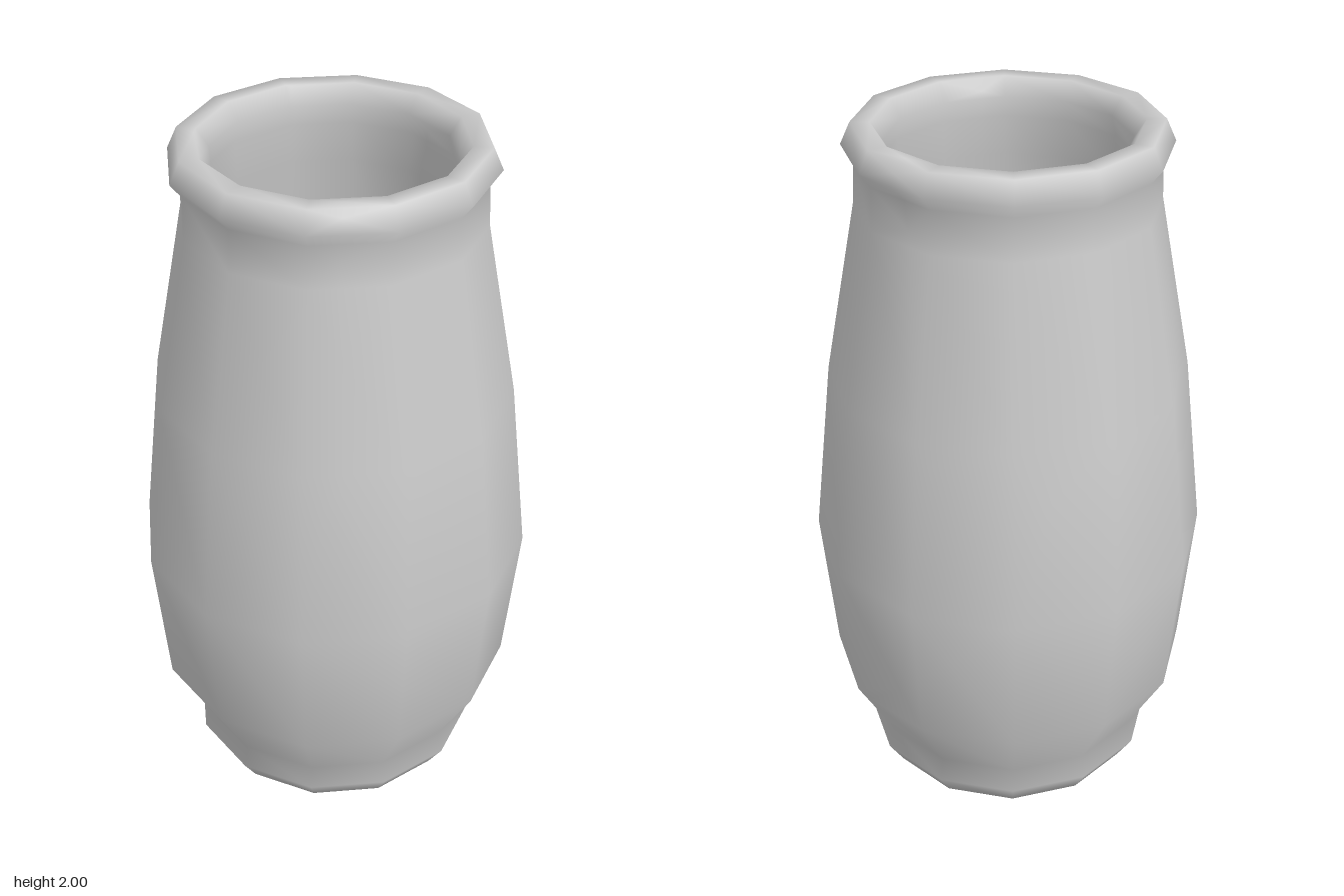
import * as THREE from 'three';

// Closed wall profile [radius, height]: base, outside, rolled rim, inside, floor
const PROFILE = [
  [0, 0], [0.385, 0], [0.43, 0.07], [0.415, 0.14], [0.525, 0.335], [0.565, 0.765],
  [0.508, 1.28], [0.415, 1.78], [0.41, 1.9], [0.442, 1.94], [0.415, 2], [0.362, 2],
  [0.33, 1.95], [0.345, 1.89], [0.34, 1.78], [0.43, 1.28], [0.485, 0.765],
  [0.445, 0.36], [0.34, 0.16], [0.31, 0.09], [0, 0.08],
];

// The vase is broken into shards; each shard is the region nearest to its seed
const SEEDS = {
  rimShardBack: [-0.055, 1.8, -0.46],
  rimShardRight: [-0.342, 1.8, -0.26],
  rimShardFront: [-0.306, 1.687, 0.171],
  rimShardLeft: [0.324, 1.687, 0.018],
  bodyShardRight: [-0.44, 0.837, 0.018],
  bodyShardLeft: [0.44, 0.837, 0.018],
  baseShardFront: [0, 0.08, 0.36],
  baseShardLeft: [0.12, -0.25, -0.02],
  baseShardBack: [-0.14, 0.1, -0.32],
};

// Cut a polygon of {p, n} corners, keeping the part on the plane's negative side
function clip(poly, plane) {
  const out = [];
  poly.forEach((a, i) => {
    const b = poly[(i + 1) % poly.length];
    const da = plane.distanceToPoint(a.p);
    const db = plane.distanceToPoint(b.p);
    if (da <= 0) out.push(a);
    if ((da < 0 && db > 0) || (da > 0 && db < 0)) {
      const t = da / (da - db);
      out.push({ p: a.p.clone().lerp(b.p, t), n: a.n.clone().lerp(b.n, t).normalize() });
    }
  });
  return out;
}

// Triangles of the whole vase with their smooth normals
function vaseTriangles() {
  const lathe = new THREE.LatheGeometry(PROFILE.map(([r, y]) => new THREE.Vector2(r, y)), 12);
  const { position, normal } = lathe.attributes;
  const corner = (i) => ({
    p: new THREE.Vector3().fromBufferAttribute(position, i),
    n: new THREE.Vector3().fromBufferAttribute(normal, i),
  });
  const triangles = [];
  for (let i = 0; i < lathe.index.count; i += 3) {
    const tri = [0, 1, 2].map((k) => corner(lathe.index.getX(i + k)));
    const area = new THREE.Triangle(tri[0].p, tri[1].p, tri[2].p).getArea();
    if (area > 1e-7) triangles.push(tri);
  }
  return triangles;
}

// One shard: every triangle trimmed by the planes halfway to the other seeds
function shardGeometry(triangles, seed, others) {
  const planes = others.map((o) => new THREE.Plane().setFromNormalAndCoplanarPoint(
    o.clone().sub(seed).normalize(), o.clone().add(seed).multiplyScalar(0.5)));
  const positions = [];
  const normals = [];
  for (const tri of triangles) {
    let poly = tri;
    for (const plane of planes) poly = clip(poly, plane);
    for (let i = 1; i + 1 < poly.length; i++) {
      for (const c of [poly[0], poly[i], poly[i + 1]]) {
        positions.push(c.p.x, c.p.y, c.p.z);
        normals.push(c.n.x, c.n.y, c.n.z);
      }
    }
  }
  const geometry = new THREE.BufferGeometry();
  geometry.setAttribute('position', new THREE.Float32BufferAttribute(positions, 3));
  geometry.setAttribute('normal', new THREE.Float32BufferAttribute(normals, 3));
  return geometry;
}

export function createModel() {
  const vase = new THREE.Group();
  vase.name = 'crackedVase';
  const material = new THREE.MeshStandardMaterial({ color: 0xcccccc, side: THREE.DoubleSide });
  const triangles = vaseTriangles();
  const seeds = Object.entries(SEEDS).map(([name, s]) => ({ name, at: new THREE.Vector3(...s) }));

  for (const { name, at } of seeds) {
    const others = seeds.filter((s) => s.name !== name).map((s) => s.at);
    const shard = new THREE.Mesh(shardGeometry(triangles, at, others), material);
    shard.name = name;
    vase.add(shard);
  }
  return vase;
}
